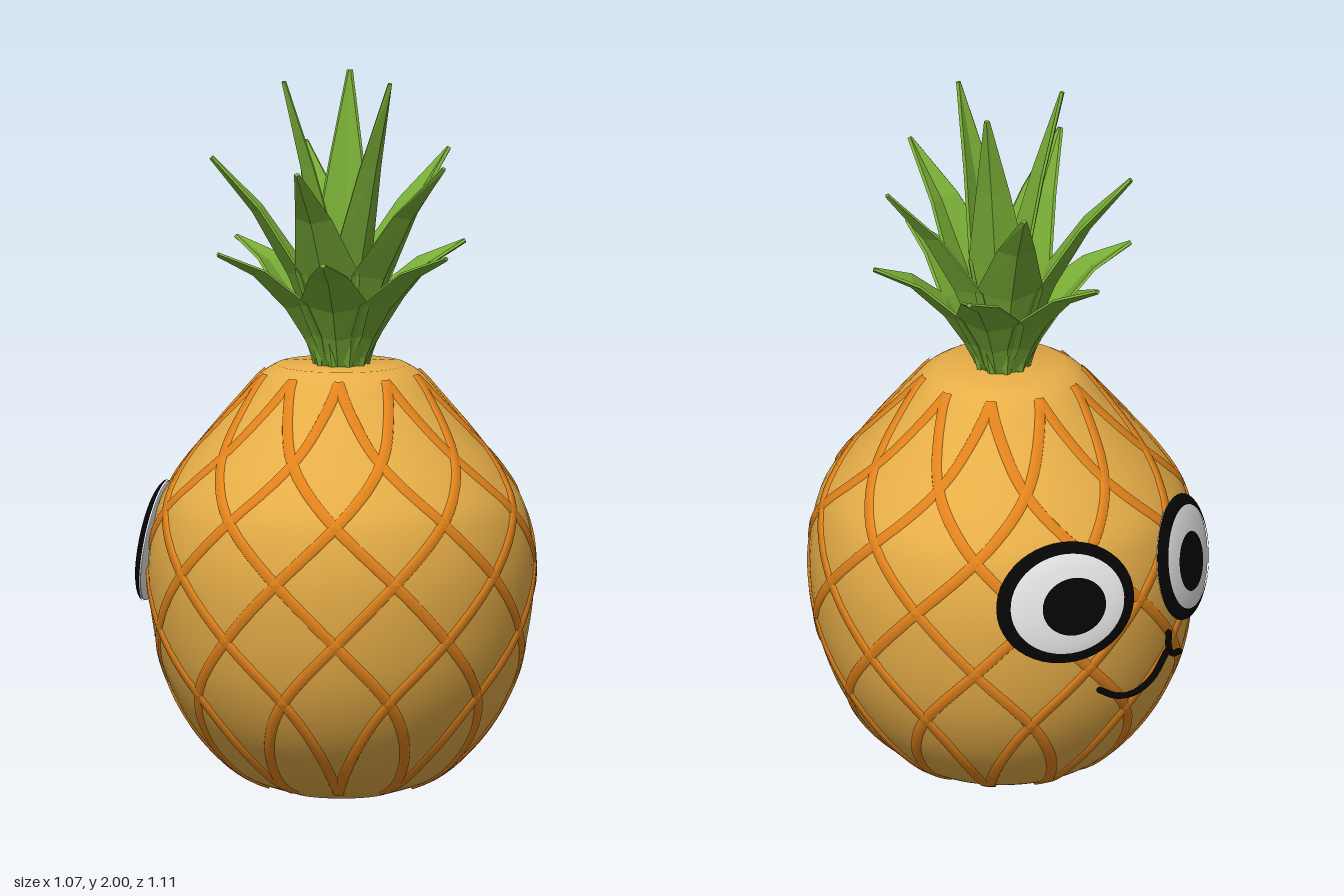
import * as THREE from 'three';
import { toCreasedNormals } from 'three/addons/utils/BufferGeometryUtils.js';

const material = (name, color, extra = {}) => {
  const m = new THREE.MeshStandardMaterial({ color, ...extra });
  m.name = name;
  return m;
};
const V3 = (x, y, z) => new THREE.Vector3(x, y, z);
const deg = Math.PI / 180;

// Body outline as [radius, height]
const profile = new THREE.SplineCurve([
  [0.13, 0.0], [0.25, 0.04], [0.335, 0.1], [0.42, 0.2], [0.486, 0.33], [0.524, 0.48],
  [0.536, 0.65], [0.51, 0.8], [0.452, 0.9], [0.372, 1.0], [0.287, 1.1], [0.226, 1.17], [0.18, 1.2],
].map(([r, y]) => new THREE.Vector2(r, y))).getPoints(72);

function radiusAt(y) {
  for (let i = 1; i < profile.length; i++) {
    const a = profile[i - 1], b = profile[i];
    if (y <= b.y) return THREE.MathUtils.mapLinear(y, a.y, b.y, a.x, b.x);
  }
  return profile[profile.length - 1].x;
}

// Point on the body; angle is measured from +z towards +x
function onBody(angle, y, lift = 0) {
  const r = radiusAt(y) + lift;
  return V3(r * Math.sin(angle), y, r * Math.cos(angle));
}

function normalAt(angle, y) {
  const slope = (radiusAt(y + 0.01) - radiusAt(y - 0.01)) / 0.02;
  return V3(Math.sin(angle), -slope, Math.cos(angle)).normalize();
}

// Skin a list of equal-length cross-sections
function loft(rows) {
  const n = rows[0].length, index = [];
  for (let i = 0; i < rows.length - 1; i++) {
    for (let j = 0; j < n - 1; j++) {
      const a = i * n + j, c = a + n;
      index.push(a, a + 1, c, a + 1, c + 1, c);
    }
  }
  const g = new THREE.BufferGeometry().setFromPoints(rows.flat());
  g.setIndex(index);
  g.computeVertexNormals();
  return g;
}

// Strip winding from crown to base, as [18-degree steps, height]
const winding = new THREE.SplineCurve([
  [0, 1.175], [0.45, 1.085], [1, 0.97], [2, 0.81], [3, 0.65], [4, 0.48], [5, 0.31], [5.55, 0.175], [6, 0.025],
].map(([s, y]) => new THREE.Vector2(s, y)));

function ridgeGeometry(start, turn) {
  const at = (u) => {
    const p = winding.getPoint(u);
    return [start + turn * p.x * 18 * deg, p.y];
  };
  const rows = [], steps = 72;
  for (let i = 0; i <= steps; i++) {
    const u = i / steps;
    const [a, y] = at(u);
    const p = onBody(a, y), n = normalAt(a, y);
    const t = onBody(...at(Math.min(1, u + 0.004))).sub(onBody(...at(Math.max(0, u - 0.004)))).normalize();
    const side = t.cross(n).normalize();
    rows.push([[-0.018, -0.005], [-0.012, 0.006], [0.012, 0.006], [0.018, -0.005]].map(
      ([s, h]) => p.clone().addScaledVector(side, s).addScaledVector(n, h)));
  }
  return loft(rows);
}

// Folded leaf with a thin rim, pointing along +z and curving outward to its tip
function leafGeometry({ base, bend, tip, width, fold, rim = 0.006 }) {
  const curve = new THREE.QuadraticBezierCurve(
    ...[base, bend, tip].map(([r, y]) => new THREE.Vector2(r, y)));
  const rows = [[0, 0.22], [0.2, 0.7], [0.4, 1], [0.7, 0.53], [1, 0.03]].map(([t, f]) => {
    const c = curve.getPoint(t), d = curve.getTangent(t);
    const point = (x, up) => V3(x, c.y + d.x * up, c.x - d.y * up);
    const w = width * f, k = fold * f;
    return [
      point(-w, k), point(0, 0), point(w, k),
      point(w + rim, k - rim), point(0, -2 * rim), point(-w - rim, k - rim), point(-w, k),
    ];
  });
  rows.push(rows[rows.length - 1].map(() => V3(0, tip[1], tip[0])));
  return loft(rows);
}

export function createModel() {
  const model = new THREE.Group();
  model.name = 'pineapple';
  const skin = material('golden skin', 0xedb34a);
  const orange = material('orange ridge', 0xe5851c);
  const green = material('leaf green', 0x78ad36, { flatShading: true, side: THREE.DoubleSide });
  const white = material('eye white', 0xe9e9e9);
  const black = material('black', 0x050505);

  const add = (parent, name, geometry, mat) => {
    const mesh = new THREE.Mesh(geometry, mat);
    mesh.name = name;
    parent.add(mesh);
    return mesh;
  };
  const group = (name, z = 0) => {
    const g = new THREE.Group();
    g.name = name;
    g.position.z = z;
    model.add(g);
    return g;
  };
  const fruitZ = 0.007;

  // Body with flat ends
  const outline = [new THREE.Vector2(0, 0), ...profile, new THREE.Vector2(0, 1.2)];
  add(group('fruit', fruitZ), 'body', toCreasedNormals(new THREE.LatheGeometry(outline, 64), 0.6), skin);

  // Criss-cross lattice
  const lattice = group('lattice', fruitZ);
  for (let i = 0; i < 10; i++) {
    for (const turn of [1, -1]) {
      add(lattice, 'ridge', ridgeGeometry((18 + 36 * i) * deg, turn), orange);
    }
  }

  // Crown: tiers of leaves
  const crown = group('crown', fruitZ);
  const tiers = [
    { name: 'innerLeaf', count: 3, base: [0.015, 1.18], bend: [0.065, 1.6], tip: [0.167, 2.0], width: 0.08, fold: 0.025 },
    { name: 'middleLeaf', count: 5, base: [0.04, 1.18], bend: [0.14, 1.55], tip: [0.357, 1.78], width: 0.09, fold: 0.035 },
    { name: 'outerLeaf', count: 6, base: [0.05, 1.18], bend: [0.17, 1.46], tip: [0.368, 1.53], width: 0.093, fold: 0.028 },
    { name: 'sproutLeaf', count: 10, base: [0.068, 1.18], bend: [0.085, 1.26], tip: [0.122, 1.33], width: 0.014, fold: 0.006, rim: 0.003 },
  ];
  for (const tier of tiers) {
    const geometry = leafGeometry(tier);
    for (let i = 0; i < tier.count; i++) {
      add(crown, tier.name, geometry, green).rotation.y = (i / tier.count) * Math.PI * 2;
    }
  }

  // Eyes: white lens, black band painted round the front, pupil turned inward
  const cap = (from, to) =>
    new THREE.SphereGeometry(1, 48, 16, 0, Math.PI * 2, from, to - from).rotateX(Math.PI / 2);
  for (const side of [1, -1]) {
    const eye = group(side > 0 ? 'leftEye' : 'rightEye');
    const angle = Math.PI - side * 26.5 * deg;
    eye.rotation.order = 'YXZ';
    eye.rotation.set(-9.5 * deg, angle, 0);
    eye.position.set(0.514 * Math.sin(angle), 0.69, 0.514 * Math.cos(angle));
    add(eye, 'eyeWhite', cap(0, Math.PI / 2), white).scale.set(0.199, 0.169, 0.036);
    add(eye, 'eyeBack', cap(Math.PI / 2, Math.PI), white).scale.set(0.199, 0.169, 0.01);
    const rim = add(eye, 'eyeRim', cap(0.97, Math.PI / 2), black);
    rim.scale.set(0.202, 0.172, 0.036);
    rim.position.z = 0.003;
    const pupil = add(eye, 'pupil', cap(0, 0.49).rotateX(0.05).rotateY(side * 0.09), black);
    pupil.scale.set(0.199, 0.174, 0.036);
    pupil.position.z = 0.004;
  }

  // Mouth: smile with a cheek crease, given as [degrees from the back, height]
  const mouth = group('mouth');
  const line = (name, points) => {
    const path = new THREE.CatmullRomCurve3(points.map(([a, y]) => onBody(Math.PI - a * deg, y, 0.009)));
    add(mouth, name, new THREE.TubeGeometry(path, 32, 0.009, 8), black);
    for (const t of [0, 1]) {
      add(mouth, name + 'End', new THREE.SphereGeometry(0.009, 8, 6), black).position.copy(path.getPoint(t));
    }
  };
  line('smile', [[15, 0.41], [8, 0.375], [0, 0.365], [-7.5, 0.39], [-13, 0.455]]);
  line('cheekCrease', [[-12.5, 0.515], [-13.5, 0.47], [-17, 0.435], [-23, 0.42]]);
  return model;
}
